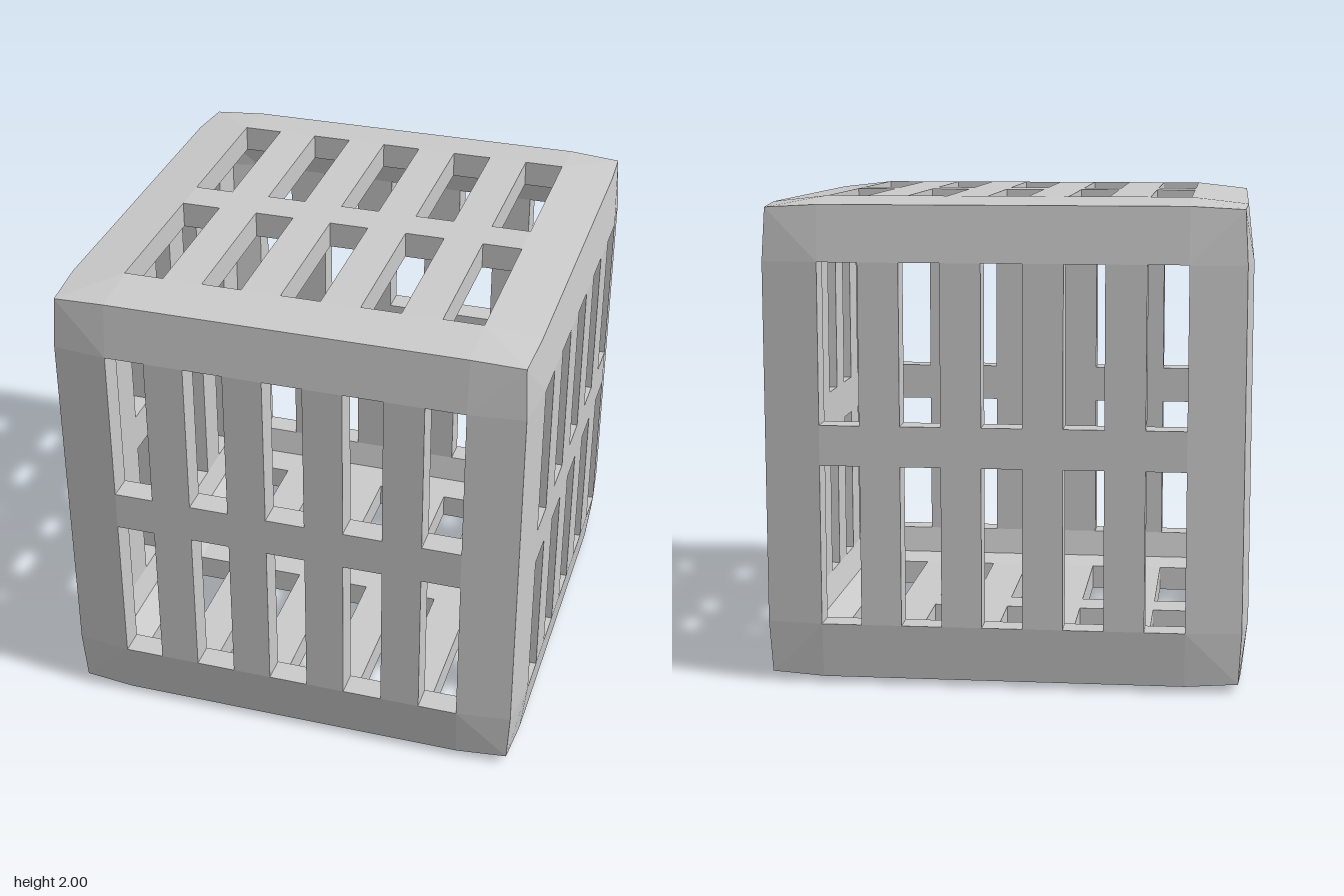
import * as THREE from 'three';

const WALL = 0.11;
// Grid lines across one panel; the outermost lines are the cube's edges
const U = [-1, -0.745, -0.58, -0.414, -0.248, -0.083, 0.083, 0.248, 0.414, 0.58, 0.745, 1];
const V = [-1, -0.745, -0.083, 0.083, 0.745, 1];
// Distance from the centre: panel middle, cube edge, cube corner
const REACH = [1, 0.974, 0.962];

const isHole = (i, j) => i % 2 === 1 && i < U.length - 2 && (j === 1 || j === 3);

// One slotted wall facing +z, centred on the origin of the cube
function panelGeometry() {
  const pos = [];

  const point = (i, j, inner) => {
    const u = U[i], v = V[j];
    const onU = Math.abs(u) === 1, onV = Math.abs(v) === 1;
    const r = REACH[Number(onU) + Number(onV)] - (inner ? WALL : 0);
    return [onU ? u * r : u, onV ? v * r : v, r];
  };
  const quad = (a, b, c, d) => pos.push(...a, ...b, ...c, ...a, ...c, ...d);

  for (let i = 0; i < U.length - 1; i++) {
    for (let j = 0; j < V.length - 1; j++) {
      const ring = [[i, j], [i + 1, j], [i + 1, j + 1], [i, j + 1]];
      const out = ring.map(([a, b]) => point(a, b, false));
      const inn = ring.map(([a, b]) => point(a, b, true));

      if (isHole(i, j)) {
        // Four sides of the slot, facing into the opening
        for (let k = 0; k < 4; k++) {
          const n = (k + 1) % 4;
          quad(out[k], out[n], inn[n], inn[k]);
        }
        continue;
      }
      // Outer and inner skin, split so the crease runs to the cube corner
      const s = (i === 0) === (j === 0) ? 0 : 1;
      const o = k => out[(k + s) % 4], p = k => inn[(k + s) % 4];
      quad(o(0), o(1), o(2), o(3));
      quad(p(0), p(3), p(2), p(1));
    }
  }
  const geo = new THREE.BufferGeometry();
  geo.setAttribute('position', new THREE.Float32BufferAttribute(pos, 3));
  geo.computeVertexNormals();
  return geo;
}

export function createModel() {
  const group = new THREE.Group();
  group.name = 'slottedCube';
  const material = new THREE.MeshStandardMaterial({ color: 0xcccccc, flatShading: true });
  const geo = panelGeometry();
  const q = Math.PI / 2;

  // The same wall turned to all six sides
  const walls = [
    ['frontWall', 0, 0], ['leftWall', 0, q], ['backWall', 0, 2 * q], ['rightWall', 0, -q],
    ['topWall', -q, 0], ['bottomWall', q, 0],
  ];
  for (const [name, rx, ry] of walls) {
    const wall = new THREE.Mesh(geo, material);
    wall.name = name;
    wall.rotation.set(rx, ry, 0);
    wall.position.y = 1;
    group.add(wall);
  }
  return group;
}
